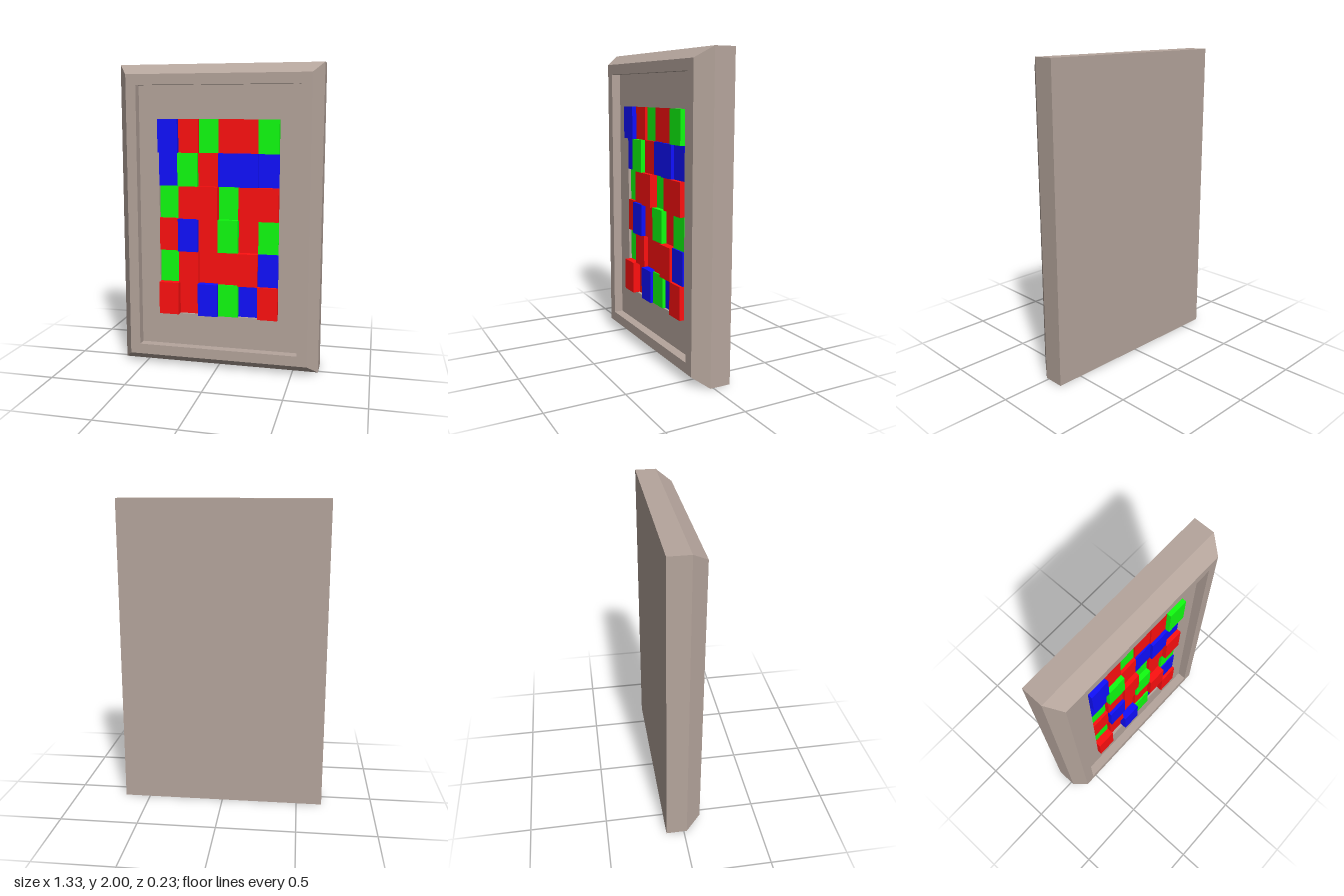
import * as THREE from 'three';

const material = (color) => new THREE.MeshStandardMaterial({ color, flatShading: true });

// Joins a series of rectangles [halfWidth, halfHeight, z] into a closed body
function steppedBody(rects) {
  const rings = rects.map(([w, h, z]) => [[-w, -h, z], [w, -h, z], [w, h, z], [-w, h, z]]);
  const points = [];
  const quad = (a, b, c, d) => points.push(...a, ...b, ...c, ...a, ...c, ...d);
  for (let r = 0; r < rings.length - 1; r++) {
    const a = rings[r], b = rings[r + 1];
    for (let i = 0; i < 4; i++) {
      const j = (i + 1) % 4;
      quad(a[i], a[j], b[j], b[i]);
    }
  }
  const back = rings[0], end = rings[rings.length - 1];
  quad(back[3], back[2], back[1], back[0]);
  quad(end[0], end[1], end[2], end[3]);
  const geometry = new THREE.BufferGeometry();
  geometry.setAttribute('position', new THREE.Float32BufferAttribute(points, 3));
  geometry.computeVertexNormals();
  return geometry;
}

export function createModel() {
  const model = new THREE.Group();
  model.name = 'tilePanel';

  // Bevelled frame with a shallow recess and a deeper tile pocket
  const frame = new THREE.Mesh(steppedBody([
    [0.667, 1, -0.116],
    [0.667, 1, 0.02],
    [0.6, 0.935, 0.116],
    [0.533, 0.867, 0.116],
    [0.533, 0.867, 0.055],
    [0.4, 0.65, 0.055],
    [0.4, 0.65, -0.01],
  ]), material(0xb5a59c));
  frame.name = 'frame';
  frame.position.y = 1;
  model.add(frame);

  // Coloured tiles, top row first, each pushed in or out of the panel
  const colors = { R: material(0xff1010), G: material(0x10ff10), B: material(0x1010ff) };
  const rows = ['BRGRRG', 'BGRBBB', 'GRRGRR', 'RBRGRG', 'GRRRRB', 'RRBGBR'];
  const offsets = [
    [0.03, 0, -0.02, -0.01, 0, 0.03],
    [0, 0.03, 0, 0, 0.02, 0],
    [-0.02, 0.01, 0.03, -0.02, 0, 0.03],
    [0, 0.03, 0, 0.015, -0.02, 0],
    [-0.02, 0.01, -0.02, 0, 0.03, 0.01],
    [0.03, -0.02, 0.03, 0.01, -0.015, 0.03],
  ];
  const width = 0.8 / 6, height = 1.3 / 6, backZ = -0.01;
  const tiles = new THREE.Group();
  tiles.name = 'tiles';
  rows.forEach((row, r) => [...row].forEach((key, c) => {
    const depth = 0.056 + offsets[r][c] - backZ;
    const tile = new THREE.Mesh(new THREE.BoxGeometry(width, height, depth), colors[key]);
    tile.name = `tileRow${r + 1}Column${c + 1}`;
    tile.position.set((c - 2.5) * width, 1 + (2.5 - r) * height, backZ + depth / 2);
    tiles.add(tile);
  }));
  model.add(tiles);

  return model;
}
